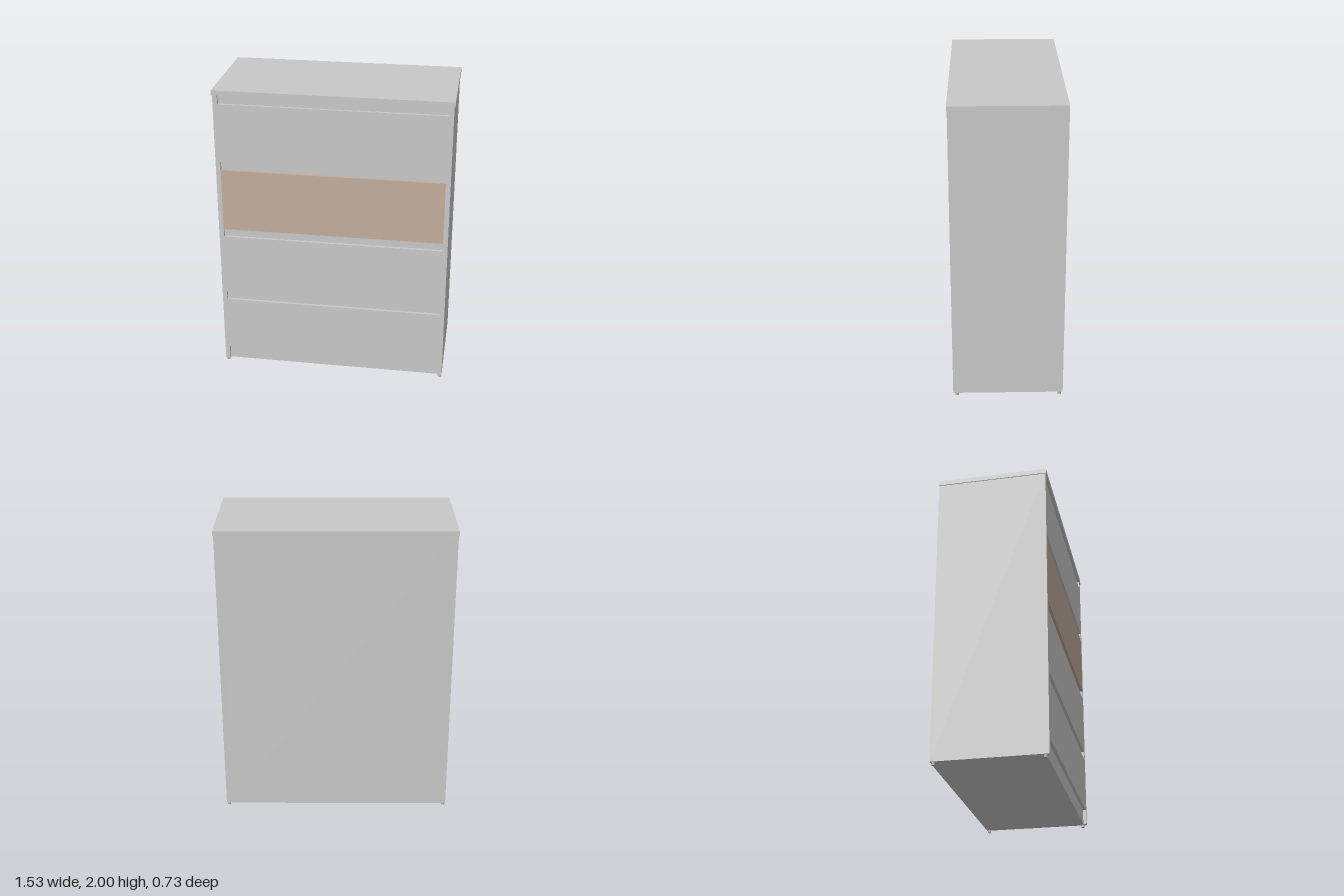
import * as THREE from 'three';

export function createModel() {
  const chest = new THREE.Group();
  chest.name = 'chestOfDrawers';

  const mat = (name, color) => {
    const m = new THREE.MeshStandardMaterial({ color });
    m.name = name;
    return m;
  };
  const grey = mat('grey board', 0xc8c8c8);
  const tan = mat('tan wood', 0xc2ad9c);

  // Box given by its limits on each axis
  const board = (name, material, [x0, x1], [y0, y1], [z0, z1]) => {
    const mesh = new THREE.Mesh(new THREE.BoxGeometry(x1 - x0, y1 - y0, z1 - z0), material);
    mesh.position.set((x0 + x1) / 2, (y0 + y1) / 2, (z0 + z1) / 2);
    mesh.name = name;
    chest.add(mesh);
  };

  const outer = 0.76, inner = 0.729;      // half widths of the carcass
  const base = 0.02, under = 1.968;       // carcass bottom and top
  const back = -0.363, front = 0.359;
  const recess = front - 0.02;            // face of the set-back rails
  const span = [-inner, inner];

  // Carcass
  board('topPanel', grey, [-0.766, 0.766], [under, 2], [back, 0.363]);
  board('leftSide', grey, [inner, outer], [base, under], [back, front]);
  board('rightSide', grey, [-outer, -inner], [base, under], [back, front]);
  board('backPanel', grey, span, [base, under], [back, back + 0.02]);
  board('bottomPanel', grey, span, [base, base + 0.03], [back + 0.02, recess - 0.03]);

  // Drawer fronts, flush with the sides
  const drawers = [[0.122, 0.499], [0.557, 0.979], [1.035, 1.458], [1.515, 1.908]];
  drawers.forEach((y, i) =>
    board('drawerFront' + (i + 1), i === 2 ? tan : grey, span, y, [recess - 0.01, front]));

  // Set-back rails fill the spaces between the drawers, plinth at the bottom
  for (let i = 0; i <= drawers.length; i++) {
    const y0 = i === 0 ? base : drawers[i - 1][1];
    const y1 = i === drawers.length ? under : drawers[i][0];
    board(i === 0 ? 'plinth' : 'rail' + i, grey, span, [y0, y1], [recess - 0.03, recess]);
  }

  // Small round feet
  const footGeometry = new THREE.CylinderGeometry(0.011, 0.011, base, 16);
  for (const x of [-0.746, 0.746]) {
    for (const z of [-0.342, 0.334]) {
      const foot = new THREE.Mesh(footGeometry, tan);
      foot.position.set(x, base / 2, z);
      foot.name = 'foot';
      chest.add(foot);
    }
  }
  return chest;
}
